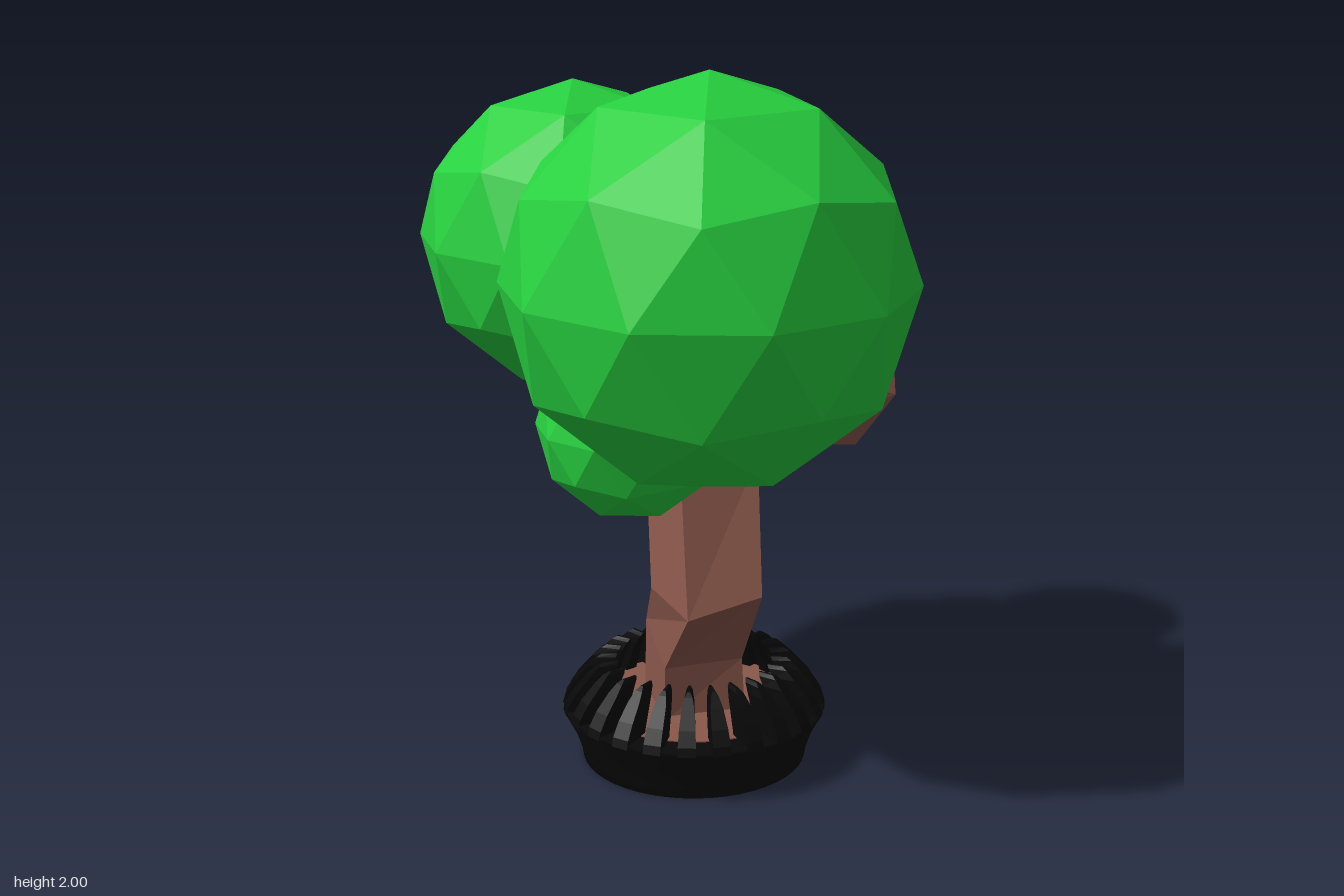
import * as THREE from 'three';

const material = (color, extra = {}) => new THREE.MeshStandardMaterial({ color, flatShading: true, ...extra });

// Joins four-cornered rings (counter-clockwise seen from the far end) into a capped solid
function loft(rings) {
  const pos = [];
  const quad = (a, b, c, d) => pos.push(...a, ...b, ...c, ...a, ...c, ...d);
  for (let k = 0; k < rings.length - 1; k++) {
    const r = rings[k], s = rings[k + 1];
    for (let i = 0; i < 4; i++) {
      const j = (i + 1) % 4;
      quad(r[i], r[j], s[j], s[i]);
    }
  }
  quad(...[...rings[0]].reverse());
  quad(...rings[rings.length - 1]);
  const g = new THREE.BufferGeometry();
  g.setAttribute('position', new THREE.Float32BufferAttribute(pos, 3));
  g.computeVertexNormals();
  return g;
}

export function createModel() {
  const model = new THREE.Group();
  model.name = 'pottedTree';
  const leaf = material(0x27d03f);
  const bark = material(0x8a574b);
  const black = material(0x080808);
  const add = (parent, name, geometry, mat) => {
    const mesh = new THREE.Mesh(geometry, mat);
    mesh.name = name;
    parent.add(mesh);
    return mesh;
  };

  // Foliage: faceted balls standing on a corner (x, y, z, radius)
  const foliage = new THREE.Group();
  foliage.name = 'foliage';
  model.add(foliage);
  const ball = new THREE.IcosahedronGeometry(1, 1);
  ball.rotateZ(Math.atan(2 / (1 + Math.sqrt(5))));
  const balls = [
    [-0.045, 1.44, 0.22, 0.56],
    [-0.28, 1.47, -0.34, 0.44],
    [0.415, 1.245, -0.46, 0.3],
    [0.418, 1.26, -0.06, 0.165],
    [-0.2, 1.0, -0.015, 0.268],
    [0.2, 1.12, -0.28, 0.21],
  ];
  balls.forEach(([x, y, z, r], i) => {
    const mesh = add(foliage, 'leafBall' + (i + 1), ball, leaf);
    mesh.position.set(x, y, z);
    mesh.scale.setScalar(r);
  });

  // Trunk: bends forward at the knee, then leans back into the crown
  add(model, 'trunk', loft([
    [[-0.14, 0.15, 0.1], [0.095, 0.15, 0.1], [0.095, 0.15, -0.13], [-0.14, 0.15, -0.13]],
    [[-0.14, 0.31, 0.1], [0.09, 0.31, 0.085], [0.085, 0.39, -0.125], [-0.14, 0.38, -0.11]],
    [[-0.115, 0.51, 0.255], [0.11, 0.54, 0.21], [0.065, 0.57, -0.01], [-0.16, 0.53, 0.03]],
    [[-0.08, 0.9, 0.05], [0.16, 0.88, 0], [0.12, 0.93, -0.235], [-0.12, 0.94, -0.19]],
    [[-0.06, 1.25, 0.1], [0.12, 1.25, 0.08], [0.1, 1.25, -0.1], [-0.08, 1.25, -0.08]],
  ]), bark);

  // Side branch: leaves the trunk sideways and turns back at its elbow
  add(model, 'branch', loft([
    [[0.05, 1.12, 0.05], [0.1, 0.93, 0.04], [0.1, 0.93, -0.15], [0.05, 1.12, -0.15]],
    [[0.42, 1.1, 0.15], [0.54, 1.05, 0.07], [0.45, 0.89, 0], [0.33, 1.06, -0.03]],
    [[0.56, 1.25, -0.32], [0.67, 1.23, -0.33], [0.64, 1.06, -0.32], [0.52, 1.1, -0.34]],
  ]), bark);

  // Pot: flared bowl, soil and a rim of inward-leaning teeth
  const pot = new THREE.Group();
  pot.name = 'pot';
  pot.position.set(-0.025, 0, -0.01);
  model.add(pot);
  const profile = [[0, 0], [0.32, 0], [0.325, 0.03], [0.345, 0.09], [0.376, 0.15], [0.374, 0.16], [0.28, 0.16]];
  add(pot, 'bowl', new THREE.LatheGeometry(profile.map(p => new THREE.Vector2(...p)), 48),
    material(0x080808, { side: THREE.DoubleSide, flatShading: false }));
  const soil = add(pot, 'soil', new THREE.CylinderGeometry(0.3, 0.3, 0.02, 48), bark);
  soil.position.y = 0.153;

  // Tooth rows: height, outer radius, inner radius, half width
  const rows = [
    [0.15, 0.377, 0.28, 0.025],
    [0.175, 0.37, 0.275, 0.025],
    [0.215, 0.345, 0.26, 0.023],
    [0.26, 0.305, 0.24, 0.018],
    [0.285, 0.28, 0.225, 0.011],
    [0.295, 0.265, 0.22, 0.004],
  ];
  const tooth = loft(rows.map(([y, o, n, w]) => {
    const v = w * n / o;
    return [[-w, y, o], [w, y, o], [v, y, n], [-v, y, n]];
  }));
  const count = 24;
  for (let i = 0; i < count; i++) {
    const mesh = add(pot, 'rimTooth' + (i + 1), tooth, black);
    mesh.rotation.y = ((i + 0.5) / count) * Math.PI * 2 + 0.07;
  }
  return model;
}
